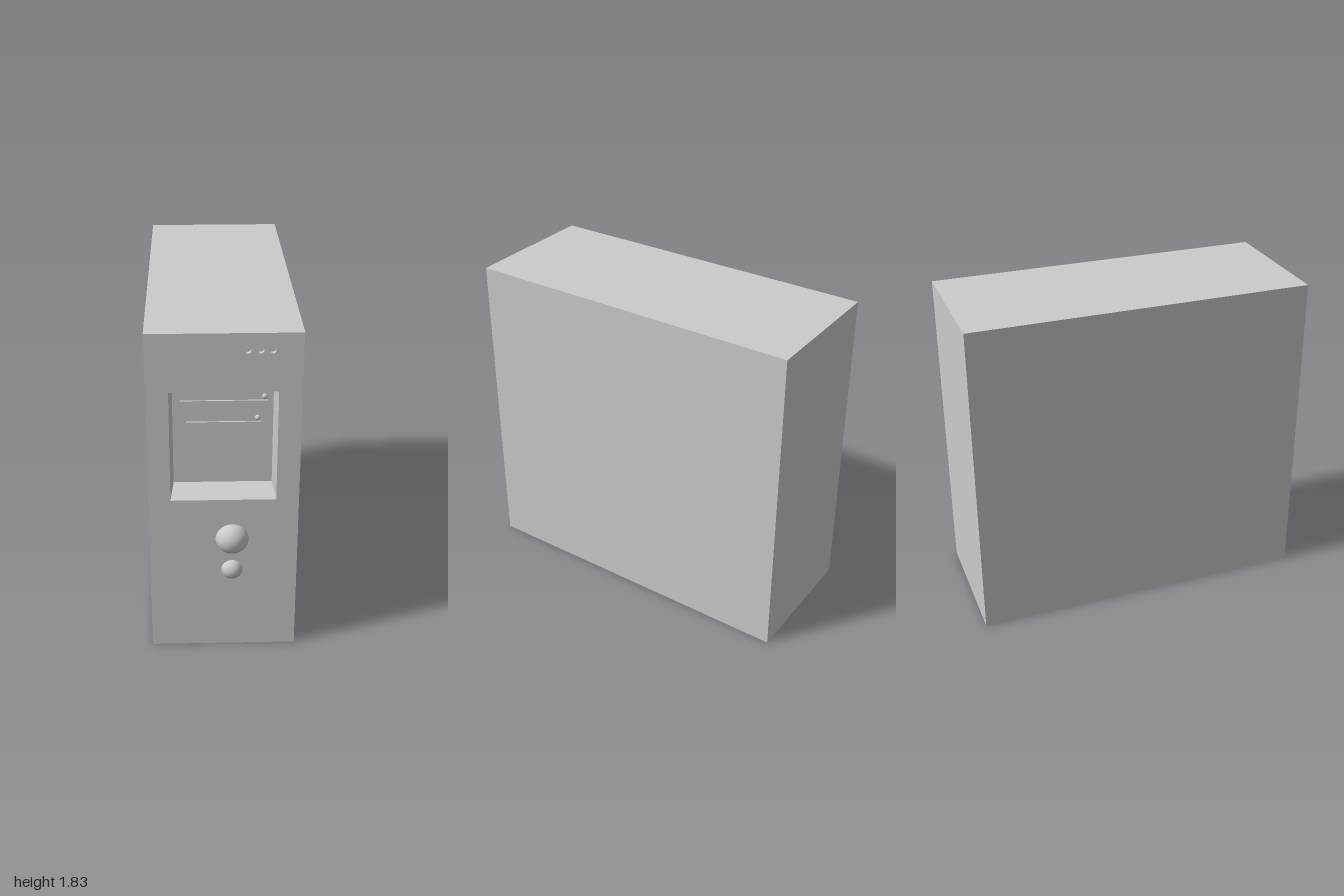
import * as THREE from 'three';

const BACK = -1, FRONT = 0.93, FLOOR = 0.76;
const OUTER = [-0.39, 0, 0.39, 1.83];            // case outline: x0, y0, x1, y1
const MOUTH = [-0.275, 0.91, 0.272, 1.52];       // bay opening
const INNER = [-0.26, 0.925, 0.26, 1.505];       // bay floor
const LIGHTS = [0.115, 0.178, 0.237].map(x => [x, 1.74]);
const LIGHT_R = 0.017, LIGHT_DEPTH = 0.025;

const material = new THREE.MeshStandardMaterial({ color: 0xcccccc });
const openMaterial = new THREE.MeshStandardMaterial({ color: 0xcccccc, side: THREE.DoubleSide });

const corners = ([x0, y0, x1, y1]) => [[x0, y0], [x1, y0], [x1, y1], [x0, y1]];

// Four walls joining rectangle a at depth za to rectangle b at depth zb
function walls(a, za, b, zb) {
  const A = corners(a), B = corners(b), p = [];
  for (let i = 0; i < 4; i++) {
    const j = (i + 1) % 4;
    const a0 = [...A[i], za], a1 = [...A[j], za], b0 = [...B[i], zb], b1 = [...B[j], zb];
    p.push(...a0, ...a1, ...b1, ...a0, ...b1, ...b0);
  }
  const g = new THREE.BufferGeometry();
  g.setAttribute('position', new THREE.Float32BufferAttribute(p, 3));
  g.computeVertexNormals();
  return g;
}

const rectShape = r => new THREE.Shape(corners(r).map(c => new THREE.Vector2(...c)));

export function createModel() {
  const group = new THREE.Group();
  const add = (name, geometry, x = 0, y = 0, z = 0, mat = material) => {
    const mesh = new THREE.Mesh(geometry, mat);
    mesh.name = name;
    mesh.position.set(x, y, z);
    group.add(mesh);
    return mesh;
  };

  // Case: side walls, back and pierced front
  add('caseWalls', walls(OUTER, BACK, OUTER, FRONT));
  add('backPanel', new THREE.ShapeGeometry(rectShape(OUTER)), 0, 0, BACK).rotation.y = Math.PI;
  const front = rectShape(OUTER);
  front.holes.push(rectShape(MOUTH));
  for (const [x, y] of LIGHTS) {
    front.holes.push(new THREE.Path().absarc(x, y, LIGHT_R, 0, Math.PI * 2, true));
  }
  add('frontPanel', new THREE.ShapeGeometry(front, 24), 0, 0, FRONT);

  // Recessed drive bay with slightly tapered walls
  add('bayWalls', walls(MOUTH, FRONT, INNER, FLOOR));
  add('bayFloor', new THREE.ShapeGeometry(rectShape(INNER)), 0, 0, FLOOR);

  // Drive fronts and their eject buttons
  const drives = [
    { x0: -0.22, x1: 0.23, y0: 1.35, y1: 1.4, button: [0.215, 1.42] },
    { x0: -0.19, x1: 0.2, y0: 1.24, y1: 1.28, button: [0.18, 1.3] },
  ];
  for (const { x0, x1, y0, y1, button } of drives) {
    add('driveFront', new THREE.BoxGeometry(x1 - x0, y1 - y0, 0.02),
      (x0 + x1) / 2, (y0 + y1) / 2, FLOOR);
    add('ejectButton', new THREE.SphereGeometry(0.015, 20, 12), ...button, FLOOR);
  }

  // Sunken indicator lights
  for (const [x, y] of LIGHTS) {
    const tube = new THREE.CylinderGeometry(LIGHT_R, LIGHT_R, LIGHT_DEPTH, 24, 1, true);
    tube.rotateX(Math.PI / 2);
    add('lightSocket', tube, x, y, FRONT - LIGHT_DEPTH / 2, openMaterial);
    add('lightLens', new THREE.CircleGeometry(LIGHT_R, 24), x, y, FRONT - LIGHT_DEPTH);
  }

  // Domed push buttons
  add('powerButton', new THREE.SphereGeometry(0.09, 40, 24), 0.045, 0.675, 0.91);
  add('resetButton', new THREE.SphereGeometry(0.06, 32, 20), 0.045, 0.484, 0.913);

  return group;
}
